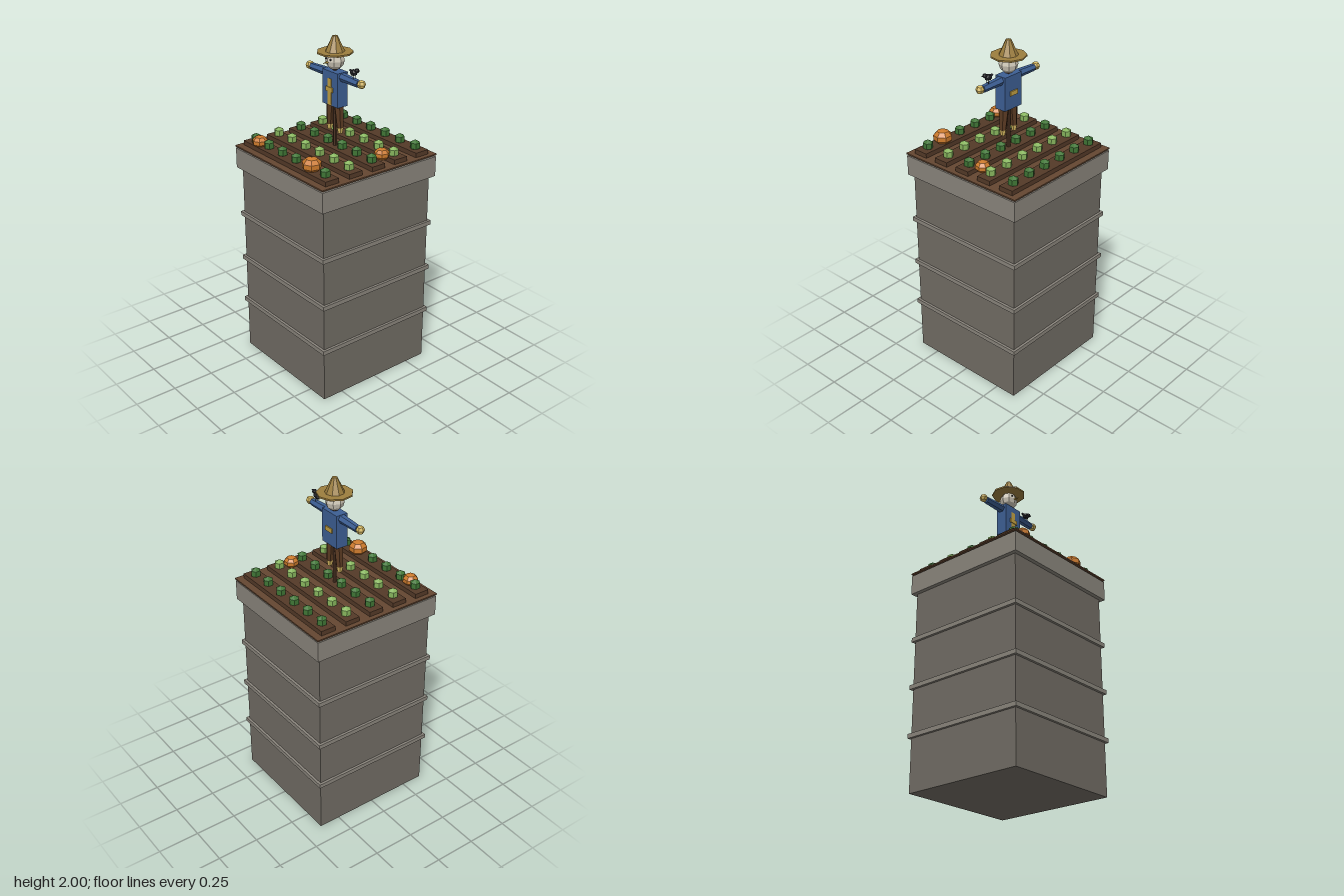
import * as THREE from 'three';

const COLORS = {
  wall: 0x716c64, trim: 0x8a857c, soil: 0x654731, bed: 0x543a28,
  darkGreen: 0x3f7535, lightGreen: 0x86b45c, pumpkin: 0xcc7a2c,
  cloth: 0x3d5f94, straw: 0xd6b860, patch: 0xc2a043, hat: 0x9c7e3e,
  trousers: 0x5a3a22, wood: 0x4a3222, sack: 0xcfc8b8, black: 0x26262b,
};
const materials = {};
for (const key in COLORS) {
  materials[key] = new THREE.MeshStandardMaterial({ color: COLORS[key], flatShading: true });
}

function add(parent, name, geometry, color, x = 0, y = 0, z = 0) {
  const mesh = new THREE.Mesh(geometry, materials[color]);
  mesh.name = name;
  mesh.position.set(x, y, z);
  parent.add(mesh);
  return mesh;
}

// Box given by its bottom and top heights
function slab(parent, name, color, width, bottom, top, depth, x = 0, z = 0) {
  return add(parent, name, new THREE.BoxGeometry(width, top - bottom, depth), color, x, (bottom + top) / 2, z);
}

// Tapered limb running from point a to point b
function limb(parent, name, color, a, b, ra, rb, sides = 6) {
  const from = new THREE.Vector3(...a), to = new THREE.Vector3(...b);
  const dir = to.clone().sub(from);
  const mesh = add(parent, name, new THREE.CylinderGeometry(rb, ra, dir.length(), sides), color);
  mesh.position.copy(from).add(to).multiplyScalar(0.5);
  mesh.quaternion.setFromUnitVectors(new THREE.Vector3(0, 1, 0), dir.normalize());
  return mesh;
}

function group(parent, name) {
  const g = new THREE.Group();
  g.name = name;
  parent.add(g);
  return g;
}

function buildTower(parent) {
  const tower = group(parent, 'tower');
  slab(tower, 'towerWall', 'wall', 0.76, 0, 1.2, 0.76);
  for (const y of [0.324, 0.613, 0.905]) slab(tower, 'towerBand', 'trim', 0.79, y - 0.013, y + 0.013, 0.79);
  slab(tower, 'parapet', 'trim', 0.81, 1.2, 1.32, 0.81);
}

function buildField(parent) {
  const field = group(parent, 'field');
  slab(field, 'soil', 'soil', 0.815, 1.329, 1.337, 0.815);
  const plant = new THREE.SphereGeometry(0.033, 6, 3).rotateY(Math.PI / 6);
  for (let row = 0; row < 5; row++) {
    const z = (row - 2) * 0.16;
    slab(field, 'plantingBed', 'bed', 0.76, 1.337, 1.364, 0.091, 0, z);
    for (let i = 0; i < 6; i++) {
      add(field, 'plant', plant, row % 2 ? 'lightGreen' : 'darkGreen', (i - 2.5) * 0.128, 1.384, z);
    }
  }
  // Pumpkins: x, z, radius
  for (const [x, z, r] of [[-0.263, 0.333, 0.046], [0.203, 0.32, 0.057], [0.305, -0.087, 0.045]]) {
    const pumpkin = add(field, 'pumpkin', new THREE.SphereGeometry(r, 7, 5), 'pumpkin', x, 1.352 + r * 0.72, z);
    pumpkin.scale.y = 0.78;
    pumpkin.rotation.y = Math.PI / 2;
  }
}

function buildScarecrow(parent) {
  const man = group(parent, 'scarecrow');
  add(man, 'pole', new THREE.CylinderGeometry(0.011, 0.012, 0.49, 6), 'wood', 0, 1.58, 0);
  slab(man, 'jacket', 'cloth', 0.134, 1.609, 1.806, 0.072);
  // Straw showing through the jacket, with patches front and back
  slab(man, 'strawFront', 'patch', 0.032, 1.612, 1.765, 0.006, 0, 0.036);
  for (const side of [1, -1]) slab(man, 'patch', 'patch', 0.058, 1.69, 1.716, 0.008, 0, side * 0.039);

  for (const s of [1, -1]) {
    limb(man, 'arm', 'cloth', [s * 0.06, 1.782, 0], [s * 0.206, 1.778, 0], 0.026, 0.021);
    add(man, 'hand', new THREE.SphereGeometry(0.025, 6, 4), 'straw', s * 0.227, 1.781, 0);
    limb(man, 'leg', 'trousers', [s * 0.034, 1.615, 0], [s * 0.046, 1.478, 0], 0.028, 0.019);
    limb(man, 'foot', 'straw', [s * 0.046, 1.484, 0], [s * 0.047, 1.45, 0], 0.021, 0.013);
  }

  // Head with eyes and pointed nose
  add(man, 'head', new THREE.SphereGeometry(0.054, 8, 6), 'sack', 0, 1.863, 0);
  for (const s of [1, -1]) add(man, 'eye', new THREE.SphereGeometry(0.006, 6, 4), 'black', s * 0.019, 1.877, 0.047);
  limb(man, 'nose', 'patch', [0, 1.86, 0.044], [0, 1.858, 0.082], 0.009, 0.001, 5);

  // Straw hat
  const brim = add(man, 'hatBrim', new THREE.CylinderGeometry(0.102, 0.102, 0.009, 9), 'hat', 0, 1.91, 0);
  const crown = add(man, 'hatCrown', new THREE.CylinderGeometry(0.015, 0.057, 0.09, 9), 'hat', 0, 1.955, 0);
  brim.rotation.y = crown.rotation.y = Math.PI;
}

// Crow standing on the left arm
function buildCrow(parent) {
  const crow = group(parent, 'crow');
  const body = add(crow, 'crowBody', new THREE.SphereGeometry(0.022, 6, 4), 'black', 0.162, 1.832, 0);
  body.scale.set(1.3, 0.85, 0.85);
  body.rotation.z = 0.2;
  limb(crow, 'crowTail', 'black', [0.155, 1.832, 0], [0.129, 1.838, 0], 0.012, 0.007, 4);
  add(crow, 'crowHead', new THREE.SphereGeometry(0.014, 6, 4), 'black', 0.188, 1.848, 0);
  limb(crow, 'crowBeak', 'black', [0.194, 1.849, 0], [0.214, 1.852, 0], 0.007, 0.001, 4);
  for (const z of [-0.007, 0.007]) limb(crow, 'crowLeg', 'black', [0.165, 1.825, z], [0.167, 1.798, z], 0.003, 0.003, 4);
}

export function createModel() {
  const model = new THREE.Group();
  model.name = 'rooftopGarden';
  buildTower(model);
  buildField(model);
  buildScarecrow(model);
  buildCrow(model);
  return model;
}
